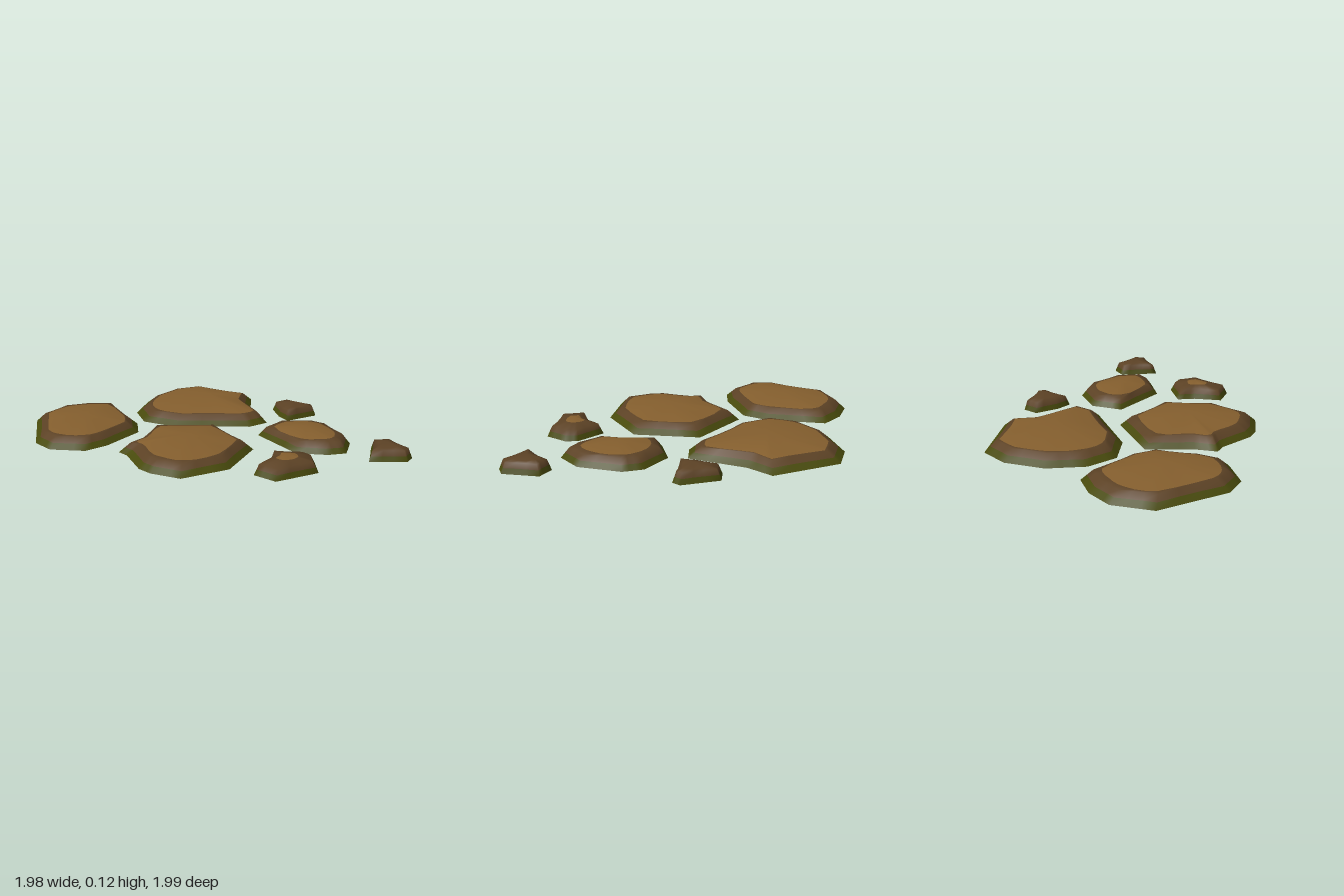
import * as THREE from 'three';

const material = (name, color) =>
  Object.assign(new THREE.MeshStandardMaterial({ color, side: THREE.DoubleSide }), { name });

const RIM_HEIGHT = 0.065; // top of the steep edge
const STEPS = 3; // subdivisions per outline edge

// peak: [x, z]; reach: size of the worn patch as a share of the outline (0 for none)
const stones = [
  { name: 'backRightStone', peak: [-0.6, -0.52], reach: 0.74, outline: [
    [-0.99, -0.41], [-0.83, -0.86], [-0.59, -0.98], [-0.4, -0.95], [-0.24, -0.86],
    [-0.24, -0.47], [-0.31, -0.3], [-0.6, -0.15], [-0.76, -0.12], [-0.95, -0.25]] },
  { name: 'backLeftStone', peak: [0.35, -0.53], reach: 0.78, outline: [
    [-0.18, -0.49], [-0.14, -0.7], [0.03, -0.89], [0.28, -1], [0.49, -0.98],
    [0.75, -0.6], [0.65, -0.44], [0.56, -0.07], [0.41, -0.05], [-0.04, -0.29]] },
  { name: 'middleStone', peak: [-0.18, 0.19], reach: 0.74, outline: [
    [-0.22, -0.28], [0.18, -0.08], [0.2, 0.35], [-0.11, 0.59], [-0.44, 0.59],
    [-0.56, 0.43], [-0.59, 0.33], [-0.56, 0.08], [-0.58, 0], [-0.45, -0.07]] },
  { name: 'leftStone', peak: [0.58, 0.36], reach: 0.65, outline: [
    [0.37, 0.13], [0.57, 0.05], [0.78, 0.15], [0.84, 0.27],
    [0.81, 0.55], [0.68, 0.69], [0.56, 0.66], [0.4, 0.54]] },
  { name: 'frontSmallStone', peak: [0.2, 0.74], reach: 0.34, outline: [
    [-0.03, 0.74], [0.13, 0.64], [0.21, 0.55], [0.38, 0.67], [0.4, 0.75], [0.33, 0.89], [0.03, 0.89]] },
  { name: 'leftPebble', peak: [0.84, -0.15], reach: 0, outline: [
    [0.76, -0.31], [0.87, -0.32], [0.98, -0.1], [0.95, -0.05], [0.71, -0.04], [0.71, -0.15]] },
  { name: 'frontLeftPebble', peak: [0.88, 0.83], reach: 0, outline: [
    [0.88, 0.68], [0.99, 0.72], [0.99, 0.95], [0.92, 0.99], [0.71, 0.88], [0.78, 0.8]] },
];

function stoneGeometry({ peak, reach, outline }) {
  const foot = new THREE.Vector3(peak[0], 0, peak[1]);
  const corners = outline.map(([x, z]) => new THREE.Vector3(x, 0, z));

  // Wider stones are taller and have a wider steep edge
  const radius = corners.reduce((sum, c) => sum + c.distanceTo(foot), 0) / corners.length;
  const top = foot.clone().setY(0.081 + 0.08 * radius);
  const inset = 0.18 * radius;
  const patchCurve = new THREE.CatmullRomCurve3(
    corners.map((c) => foot.clone().lerp(c, reach || 0.5)), true);
  const count = corners.length * STEPS;

  // Rings: ground edge, moss line, rim, worn patch
  const rings = [[], [], [], []];
  for (let i = 0; i < count; i++) {
    const k = Math.floor(i / STEPS);
    const base = corners[k].clone().lerp(corners[(k + 1) % corners.length], (i % STEPS) / STEPS);
    const rim = base.clone().lerp(foot, inset / base.distanceTo(foot)).setY(RIM_HEIGHT);
    const rimRadius = Math.hypot(rim.x - top.x, rim.z - top.z);
    const t = Math.min(0.96, patchCurve.getPoint(i / count).distanceTo(foot) / rimRadius);
    rings[0].push(base);
    rings[1].push(base.clone().lerp(rim, 0.5));
    rings[2].push(rim);
    rings[3].push(top.clone().lerp(rim, t));
  }

  // Bands between the rings, then a fan up to the peak
  const geometry = new THREE.BufferGeometry().setFromPoints([...rings.flat(), top]);
  const bandMaterials = [0, 1, 1, reach ? 2 : 1];
  const index = [];
  bandMaterials.forEach((materialIndex, r) => {
    const start = index.length;
    for (let i = 0; i < count; i++) {
      const a = r * count + i;
      const b = r * count + ((i + 1) % count);
      if (r === 3) index.push(b, a, 4 * count);
      else index.push(b, a, a + count, b, a + count, b + count);
    }
    geometry.addGroup(start, index.length - start, materialIndex);
  });
  geometry.setIndex(index);
  geometry.computeVertexNormals();
  return geometry;
}

export function createModel() {
  const group = new THREE.Group();
  group.name = 'steppingStones';
  const materials = [
    material('moss', 0x484a0c),
    material('darkEarth', 0x5c4225),
    material('wornTop', 0x855f2e),
  ];
  for (const stone of stones) {
    const mesh = new THREE.Mesh(stoneGeometry(stone), materials);
    mesh.name = stone.name;
    group.add(mesh);
  }
  return group;
}
